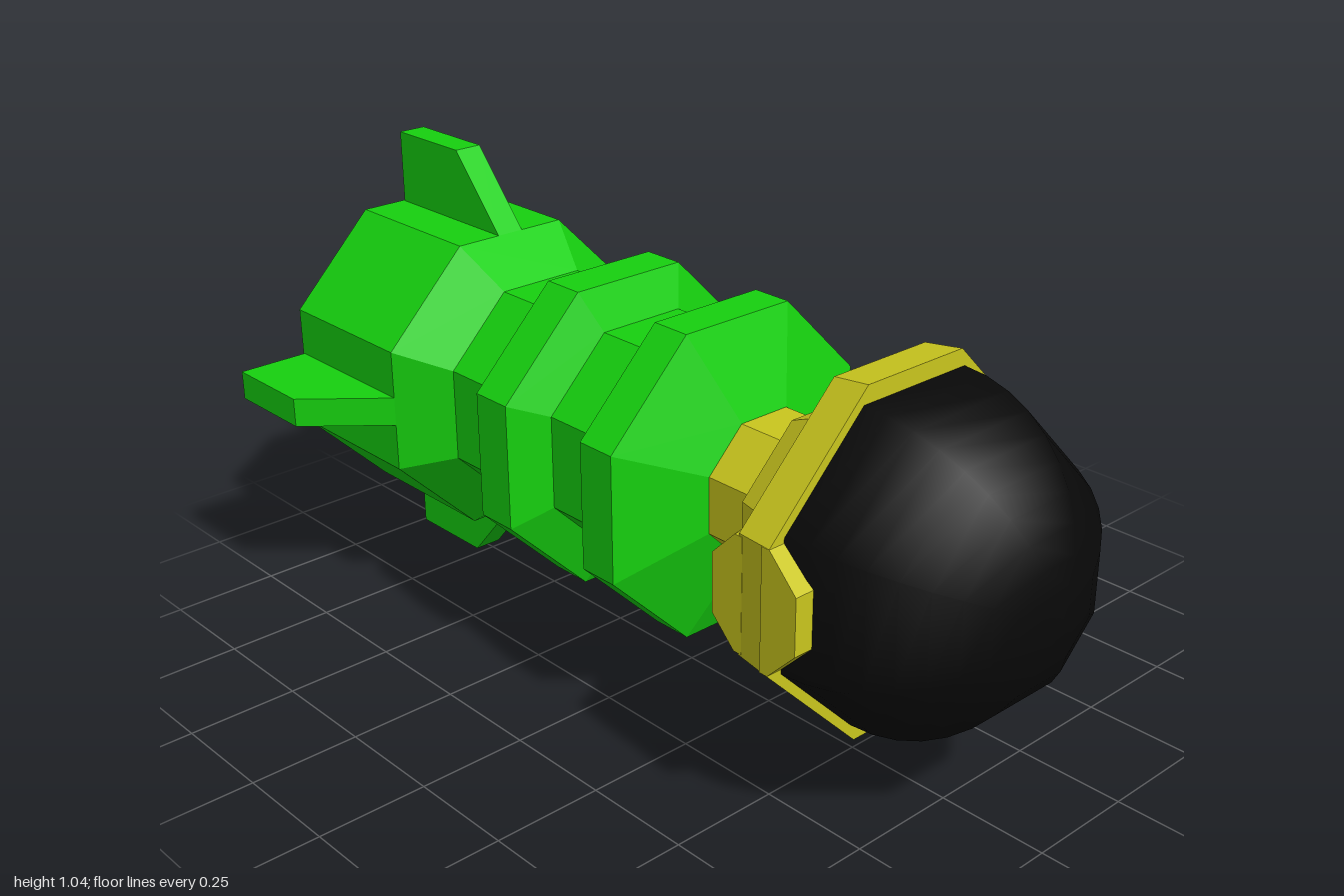
import * as THREE from 'three';

const AXIS_Y = 0.523;
const green = new THREE.MeshStandardMaterial({ color: 0x16d00f, flatShading: true });
const yellow = new THREE.MeshStandardMaterial({ color: 0xcac61e, flatShading: true });
const black = new THREE.MeshStandardMaterial({ color: 0x080808 });

// Octagonal turning along z; profile entries are [z, distance to the flat sides]
function octagon(name, profile, material) {
  const pts = profile.map(([z, r]) => new THREE.Vector2(r / Math.cos(Math.PI / 8), z));
  const geo = new THREE.LatheGeometry(pts, 8, Math.PI / 8);
  geo.rotateX(Math.PI / 2);
  const mesh = new THREE.Mesh(geo, material);
  mesh.name = name;
  return mesh;
}

// Flat plate outlined in (z, height), thickness centred on the plate
function plate(points, thickness) {
  const shape = new THREE.Shape(points.map(([z, h]) => new THREE.Vector2(z, h)));
  const geo = new THREE.ExtrudeGeometry(shape, { depth: thickness, bevelEnabled: false });
  geo.translate(0, 0, -thickness / 2);
  geo.rotateY(-Math.PI / 2); // outline x becomes z
  return geo;
}

function addMesh(group, name, geo, material) {
  const mesh = new THREE.Mesh(geo, material);
  mesh.name = name;
  group.add(mesh);
  return mesh;
}

export function createModel() {
  const model = new THREE.Group();
  model.name = 'model';
  const core = new THREE.Group();
  core.name = 'core';
  core.position.y = AXIS_Y;
  model.add(core);

  // Ribbed handle with a closed back
  core.add(octagon('handle', [
    [-1, 0], [-1, 0.35], [-0.62, 0.35], [-0.51, 0.26], [-0.335, 0.26],
    [-0.30, 0.35], [-0.20, 0.35], [-0.16, 0.26], [0.01, 0.26],
    [0.045, 0.35], [0.14, 0.35], [0.22, 0.157], [0.22, 0],
  ], green));

  // Neck flaring into the lens collar
  const collar = octagon('neckAndCollar', [
    [0.21, 0.156], [0.33, 0.156], [0.39, 0.228], [0.50, 0.275],
    [0.53, 0.373], [0.62, 0.385], [0.62, 0.3],
  ], yellow);
  // The wide collar rings have shorter flats than a regular octagon
  const pos = collar.geometry.attributes.position;
  for (let i = 0; i < pos.count; i++) {
    const x = pos.getX(i), y = pos.getY(i);
    const big = Math.max(Math.abs(x), Math.abs(y));
    if (big < 0.36) continue;
    if (Math.abs(x) < Math.abs(y)) pos.setX(i, Math.sign(x) * big * 0.347);
    else pos.setY(i, Math.sign(y) * big * 0.347);
  }
  core.add(collar);

  // Rounded lens, a smooth octagonal dome
  const dome = [];
  for (let i = 0; i <= 10; i++) {
    const a = (i / 10) * Math.PI / 2;
    dome.push([0.615 + 0.385 * Math.sin(a), i === 10 ? 0 : 0.347 * Math.cos(a)]);
  }
  core.add(octagon('lens', dome, black));

  // Tabs reaching forward over the lens on both sides
  const tabShape = [[0.60, -0.133], [0.62, -0.133], [0.69, -0.062],
    [0.69, 0.062], [0.62, 0.133], [0.60, 0.133]];
  for (const side of [-1, 1]) {
    const tab = addMesh(core, side > 0 ? 'leftTab' : 'rightTab', plate(tabShape, 0.045), yellow);
    tab.position.x = side * 0.3625;
  }

  // Switch block behind the collar on the right side
  const block = plate([[0.54, -0.125], [0.54, 0.125], [0.52, 0.125],
    [0.445, 0.065], [0.445, -0.065], [0.52, -0.125]].reverse(), 0.13);
  const bp = block.attributes.position;
  for (let i = 0; i < bp.count; i++) {
    // the outer face leans forward a little
    if (bp.getX(i) < 0 && bp.getZ(i) < 0.5) bp.setZ(i, bp.getZ(i) + 0.015);
    else if (bp.getX(i) > 0 && bp.getZ(i) < 0.5) bp.setZ(i, bp.getZ(i) - 0.02);
  }
  addMesh(core, 'switchBlock', block, yellow).position.x = -0.31;

  // Four tail fins
  const finShape = [[-0.995, 0.3], [-0.62, 0.3], [-0.62, 0.35], [-0.77, 0.522], [-0.995, 0.522]];
  ['topFin', 'rightFin', 'bottomFin', 'leftFin'].forEach((name, i) => {
    addMesh(core, name, plate(finShape, 0.068), green).rotation.z = i * Math.PI / 2;
  });

  return model;
}
